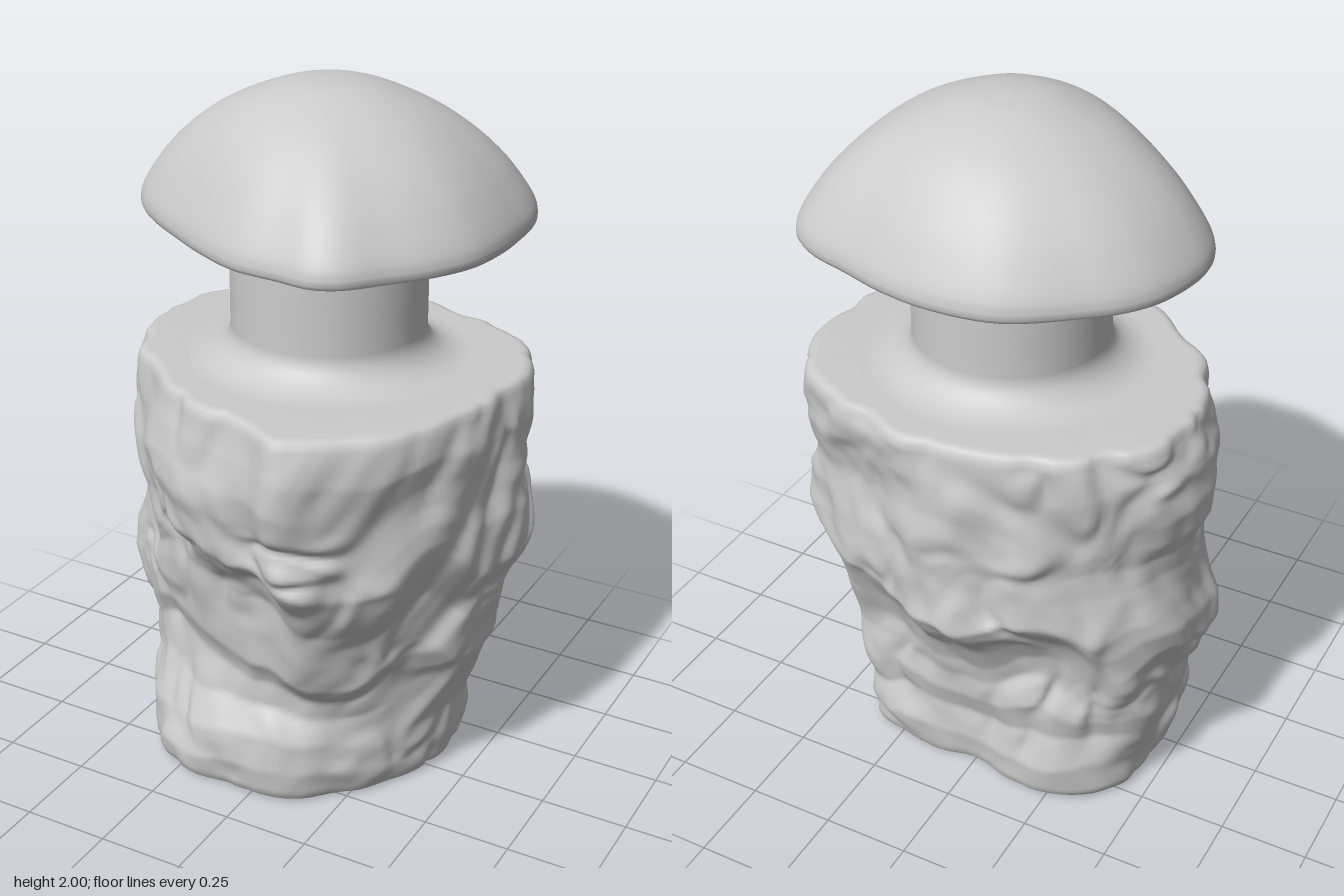
import * as THREE from 'three';

const AX = 0.03, AZ = -0.04; // shared axis of neck and stopper
const V = (x, y, z) => new THREE.Vector3(x, y, z);
const { lerp, smoothstep } = THREE.MathUtils;

// Horizontal outlines [x, z], clockwise from the back
const BASE = [[0, -.36], [.13, -.37], [.25, -.35], [.355, -.295], [.395, -.19], [.405, -.06], [.38, .05],
  [.31, .17], [.22, .28], [.13, .36], [.04, .39], [-.1, .385], [-.23, .36], [-.37, .285], [-.44, .13],
  [-.465, -.04], [-.46, -.17], [-.41, -.29], [-.27, -.37], [-.13, -.375]];
const MIDDLE = [[0, -.56], [.215, -.485], [.44, -.395], [.56, -.28], [.605, -.145], [.59, 0], [.57, .15],
  [.455, .35], [.3, .49], [.18, .56], [.085, .52], [-.16, .49], [-.31, .375], [-.44, .23], [-.57, .03],
  [-.605, -.16], [-.57, -.275], [-.4, -.41], [-.24, -.515], [-.14, -.525]];
const TOP = [[0, -.525], [.2, -.485], [.43, -.4], [.53, -.28], [.565, -.145], [.56, 0], [.545, .14],
  [.45, .345], [.29, .48], [.18, .53], [.085, .49], [-.12, .43], [-.27, .325], [-.42, .2], [-.52, .02],
  [-.53, -.14], [-.505, -.26], [-.39, -.38], [-.23, -.485], [-.13, -.515]];
const CAP = [[0, -.515], [.15, -.495], [.29, -.45], [.41, -.41], [.49, -.35], [.54, -.24], [.555, -.1], [.555, .02],
  [.535, .14], [.48, .25], [.4, .35], [.32, .44], [.25, .47], [.15, .46], [.02, .445], [-.12, .38], [-.24, .305],
  [-.35, .23], [-.44, .15], [-.5, .06], [-.52, -.05], [-.485, -.21], [-.43, -.3], [-.355, -.37], [-.18, -.49]];

// Stone silhouette by height: [y, left, right, front, back]
const EXTENT = [[0, .465, .40, .395, .37], [.1, .475, .415, .41, .385], [.2, .49, .42, .39, .365],
  [.28, .505, .45, .335, .39], [.36, .515, .48, .335, .39], [.43, .555, .515, .375, .41], [.52, .605, .52, .39, .46],
  [.6, .60, .53, .41, .52], [.66, .575, .57, .42, .555], [.73, .555, .60, .465, .55], [.8, .54, .60, .525, .545],
  [.88, .54, .60, .535, .54], [.94, .57, .585, .55, .53], [1.02, .585, .58, .56, .525], [1.12, .57, .59, .555, .53],
  [1.25, .53, .57, .535, .525]];

function outline(points, n) {
  const c = new THREE.CatmullRomCurve3(points.map(([x, z]) => V(x, 0, z)), true);
  return Array.from({ length: n }, (_, i) => c.getPoint(i / n));
}

// Outline scaled so that each side reaches exactly 1
function unitOutline(points, n) {
  const ring = outline(points, n);
  const reach = (f) => Math.max(...ring.map(f));
  const right = reach((p) => p.x), left = reach((p) => -p.x), front = reach((p) => p.z), back = reach((p) => -p.z);
  return ring.map((p) => V(p.x / (p.x > 0 ? right : left), 0, p.z / (p.z > 0 ? front : back)));
}

function extentAt(y) {
  let i = 0;
  while (i < EXTENT.length - 2 && EXTENT[i + 1][0] < y) i++;
  const a = EXTENT[i], b = EXTENT[i + 1];
  return a.map((v, k) => lerp(v, b[k], (y - a[0]) / (b[0] - a[0])));
}

// Smooth value noise in -1..1
function hash(x, y, z) {
  let h = Math.imul(x, 374761393) ^ Math.imul(y, 668265263) ^ Math.imul(z, 1274126177);
  h = Math.imul(h ^ (h >>> 13), 1103515245);
  return ((h ^ (h >>> 16)) >>> 0) / 2147483648 - 1;
}
function noise(x, y, z) {
  const i = Math.floor(x), j = Math.floor(y), k = Math.floor(z);
  const s = (t) => t * t * t * (t * (t * 6 - 15) + 10);
  const u = s(x - i), v = s(y - j), w = s(z - k);
  const row = (b, c) => lerp(hash(i, b, c), hash(i + 1, b, c), u);
  const sheet = (c) => lerp(row(j, c), row(j + 1, c), v);
  return lerp(sheet(k), sheet(k + 1), w);
}

// Chiselled relief: warped, tilted layers of noise stretched along the height
function relief(x, y, z) {
  const w = noise(x * 4 + 7, y * 4, z * 4) * 0.1;
  const a = x * 0.8 + z * 0.6 + y * 0.3 + w, b = z * 0.8 - x * 0.6 + y * 0.25 - w, c = y * 0.65 - x * 0.25 + w;
  const broad = noise(a * 5.5, c * 5, b * 5.5);
  const groove = 1 - Math.min(1, Math.abs(noise(a * 7 + 20, c * 6, b * 7)) * 1.7);
  const fine = noise(a * 14, c * 13 + 5, b * 14);
  return 0.035 * broad + 0.03 * smoothstep(groove, 0, 1) + 0.014 * fine;
}

// Skin through closed rings listed from bottom to top
function loft(rings) {
  const n = rings[0].length, pos = [], index = [];
  rings.forEach((r) => r.forEach((p) => pos.push(p.x, p.y, p.z)));
  for (let j = 0; j < rings.length - 1; j++) {
    for (let i = 0; i < n; i++) {
      const a = j * n + i, b = j * n + (i + 1) % n, c = b + n, d = a + n;
      index.push(a, d, b, b, d, c);
    }
  }
  const g = new THREE.BufferGeometry();
  g.setAttribute('position', new THREE.Float32BufferAttribute(pos, 3));
  g.setIndex(index);
  g.computeVertexNormals();
  return g;
}

// Ring moved to height y, scaled about the axis and blended towards a circle
function shaped(ring, y, scale, round = 0, radius = 0) {
  return ring.map((p) => {
    const dx = p.x - AX, dz = p.z - AZ, len = Math.hypot(dx, dz);
    const k = lerp(scale, radius / len, round);
    return V(AX + dx * k, y, AZ + dz * k);
  });
}

function stoneGeometry() {
  const n = 240, rows = 110, sides = [];
  const [base, middle, top] = [BASE, MIDDLE, TOP].map((o) => unitOutline(o, n));
  for (let j = 0; j <= rows; j++) {
    const y = lerp(0.03, 1.205, j / rows);
    sides.push(base.map((p, i) => {
      const q = p.clone().lerp(middle[i], smoothstep(y, 0.1, 0.7)).lerp(top[i], smoothstep(y, 0.95, 1.2));
      // ledges wander up and down between the four main sides
      const diagonal = Math.abs(q.x * q.z) / (q.x * q.x + q.z * q.z);
      const shift = 0.3 * diagonal * noise(q.x * 2.5 + 3, y * 2, q.z * 2.5) * Math.sin(Math.PI * y / 1.23);
      const [, left, right, front, back] = extentAt(y + shift);
      const x = q.x * (q.x > 0 ? right : left), z = q.z * (q.z > 0 ? front : back);
      const k = 1.01 - relief(x, y, z);
      return V(x * k, y, z * k);
    }));
  }
  const first = sides[0], last = sides[rows];
  return loft([
    // underside with a shallow round recess
    shaped(first, 0.025, 0, 1, 0), shaped(first, 0.025, 0, 1, 0.2), shaped(first, 0.018, 0, 1, 0.225),
    shaped(first, 0.006, 0, 1, 0.25), shaped(first, 0.003, 0, 1, 0.27), shaped(first, 0, 0.94),
    shaped(first, 0.004, 0.965), shaped(first, 0.013, 0.985),
    ...sides,
    // softened shoulder and flat top
    shaped(last, 1.22, 0.993), shaped(last, 1.23, 0.978), shaped(last, 1.234, 0.955),
    shaped(last, 1.235, 0.93), shaped(last, 1.235, 0, 1, 0.36), shaped(last, 1.235, 0, 1, 0.2),
  ]);
}

function capGeometry() {
  const base = outline(CAP, 150);
  // dome profile: [share of the outline, height]
  const profile = new THREE.SplineCurve([[1, 1.64], [0.985, 1.67], [0.93, 1.72], [0.84, 1.785], [0.72, 1.85],
    [0.57, 1.91], [0.4, 1.955], [0.2, 1.99], [0, 2]].map(([s, y]) => new THREE.Vector2(s, y)));
  const dome = profile.getPoints(40).map((p) =>
    shaped(base, p.y, p.x, 0.9 * smoothstep(1 - p.x, 0, 0.75), 0.52 * p.x));
  return loft([
    shaped(base, 1.625, 0, 1, 0), shaped(base, 1.625, 0, 1, 0.36), shaped(base, 1.625, 0.88),
    shaped(base, 1.617, 0.95), shaped(base, 1.615, 0.972), shaped(base, 1.619, 0.99), shaped(base, 1.628, 0.999),
    ...dome,
  ]);
}

export function createModel() {
  const group = new THREE.Group();
  const grey = new THREE.MeshStandardMaterial({ color: 0xcccccc });
  const thin = new THREE.MeshStandardMaterial({ color: 0xcccccc, side: THREE.DoubleSide });
  const add = (name, geometry, material = grey) => {
    const mesh = new THREE.Mesh(geometry, material);
    mesh.name = name;
    group.add(mesh);
    return mesh;
  };
  const lathe = (name, pts) => {
    const mesh = add(name, new THREE.LatheGeometry(pts.map(([r, y]) => new THREE.Vector2(r, y)), 72), thin);
    mesh.position.set(AX, 0, AZ);
  };

  add('stoneBody', stoneGeometry());

  // Neck with a curved foot and an open mouth
  const foot = [];
  for (let i = 0; i <= 10; i++) {
    const a = (i / 10) * Math.PI / 2;
    foot.push([0.39 - 0.12 * Math.sin(a), 1.325 - 0.09 * Math.cos(a)]);
  }
  lathe('neck', [...foot, [0.27, 1.4], [0.27, 1.565], [0.267, 1.575], [0.26, 1.578], [0.235, 1.578], [0.23, 1.57], [0.23, 1.25]]);

  // Stepped seat under the stopper
  lathe('stopperSeat', [[0, 1.58], [0.3, 1.58], [0.325, 1.58], [0.332, 1.586],
    [0.334, 1.598], [0.352, 1.603], [0.355, 1.612], [0.37, 1.628]]);

  add('stopperCap', capGeometry());
  return group;
}
